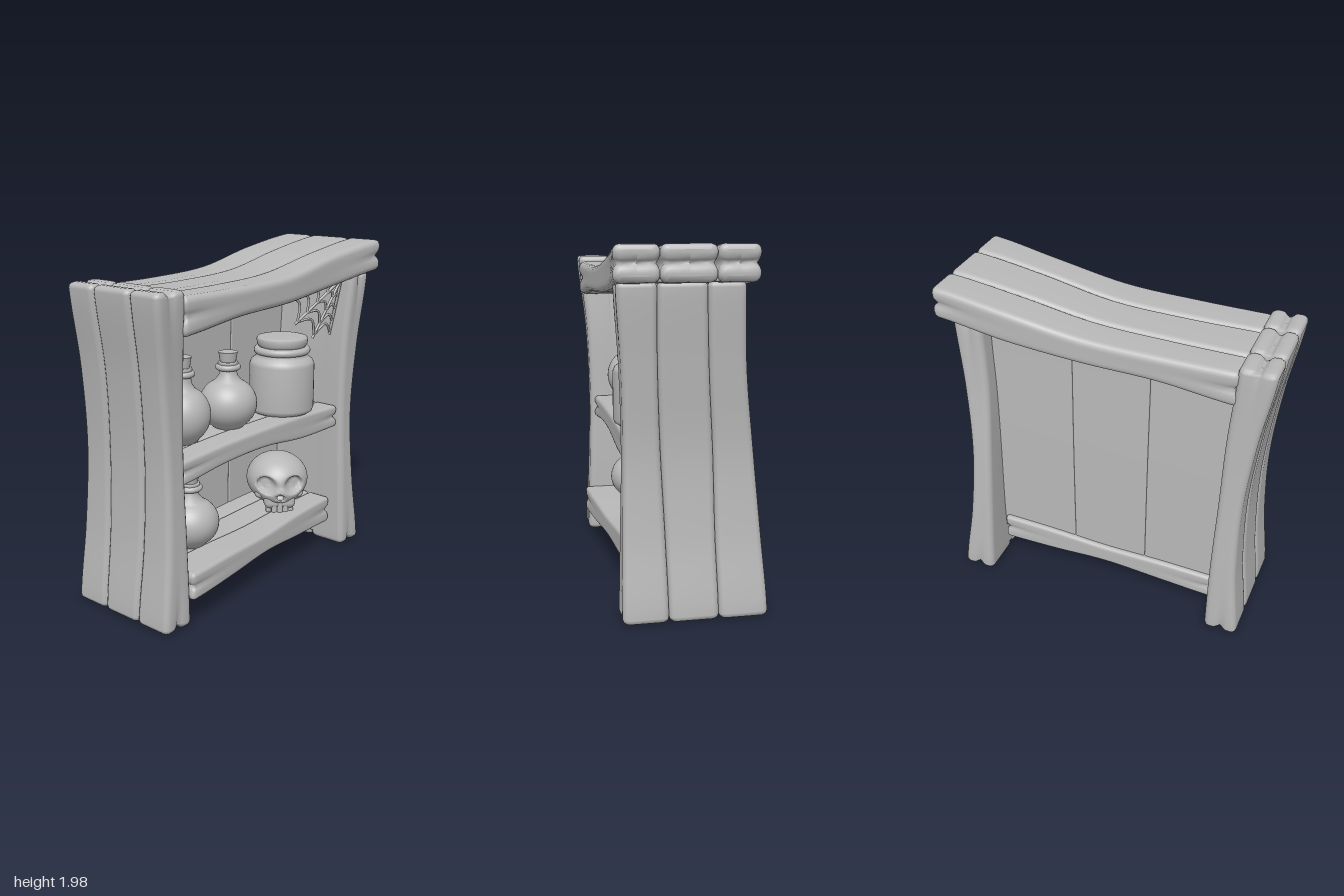
import * as THREE from 'three';
import { RoundedBoxGeometry } from 'three/addons/geometries/RoundedBoxGeometry.js';

const clay = new THREE.MeshStandardMaterial({ color: 0xb8b8b8 });
clay.name = 'plain grey';

function add(parent, name, geometry, x = 0, y = 0, z = 0) {
  const mesh = new THREE.Mesh(geometry, clay);
  mesh.name = name;
  mesh.position.set(x, y, z);
  parent.add(mesh);
  return mesh;
}

// Smooth function of t in 0..1 through evenly spaced values
function smooth(values) {
  const curve = new THREE.SplineCurve(values.map((v, i) => new THREE.Vector2(i, v)));
  return t => curve.getPoint(t).y;
}

// Rounded rectangle section; extra points on the two narrow sides carry the split groove
function section(hw, ht, r, groove) {
  const pts = [];
  const side = s => [-0.4, -0.2, 0, 0.2, 0.4].forEach(v =>
    pts.push([s * (hw - groove * Math.exp(-((v / 0.2) ** 2))), s * v * ht, s * v]));
  const corner = (su, sv, start) => {
    for (let i = 0; i <= 4; i++) {
      const a = start + i * Math.PI / 8;
      const v = sv * (ht - r) + r * Math.sin(a);
      pts.push([su * (hw - r) + r * Math.cos(a), v, v / ht]);
    }
  };
  side(1);
  corner(1, 1, 0);
  pts.push([0, ht, 1]);
  corner(-1, 1, Math.PI / 2);
  side(-1);
  corner(-1, -1, Math.PI);
  pts.push([0, -ht, -1]);
  corner(1, -1, Math.PI * 1.5);
  return pts;
}

// Warped plank: axes gives the world axis of width, length and thickness
function plankGeometry(axes, l0, l1, w0, w1, t0, t1, split = 0.025, r = 0.035) {
  const rings = [];
  const ring = (l, inset, collapse) => {
    const t = THREE.MathUtils.clamp((l - l0) / (l1 - l0), 0, 1);
    const cw = (w0(t) + w1(t)) / 2, ct = (t0(t) + t1(t)) / 2;
    const hw = (w1(t) - w0(t)) / 2, ht = (t1(t) - t0(t)) / 2;
    const end = Math.min(l - l0, l1 - l);
    const rad = Math.min(r, ht * 0.6);
    const pts = section(hw - inset, ht - inset, Math.max(rad - inset * 0.6, 0.004), split * Math.exp(-end / 0.12));
    rings.push(pts.map(([u, v, f]) => {
      const notch = split * 1.2 * Math.exp(-((f / 0.25) ** 2)) * Math.exp(-end / 0.02);
      const p = [0, 0, 0];
      p[axes[0]] = cw + u * collapse;
      p[axes[1]] = l + (t < 0.5 ? notch : -notch);
      p[axes[2]] = ct + v;
      return p;
    }));
  };
  const e = Math.min(r, 0.03), turn = [90, 60, 30].map(d => d * Math.PI / 180);
  [0, 0.5].forEach(c => ring(l0, e, c));
  turn.forEach(a => ring(l0 + e - e * Math.sin(a), e * (1 - Math.cos(a)), 1));
  for (let i = 0; i <= 28; i++) ring(l0 + e + (l1 - l0 - 2 * e) * i / 28, 0, 1);
  turn.reverse().forEach(a => ring(l1 - e + e * Math.sin(a), e * (1 - Math.cos(a)), 1));
  [0.5, 0].forEach(c => ring(l1, e, c));

  const n = rings[0].length, index = [];
  const even = (axes[1] - axes[0] + 3) % 3 === 1;
  for (let j = 0; j < rings.length - 1; j++) for (let i = 0; i < n; i++) {
    const a = j * n + i, b = j * n + (i + 1) % n, c = a + n, d = b + n;
    index.push(...(even ? [a, c, b, b, c, d] : [a, b, c, b, d, c]));
  }
  const g = new THREE.BufferGeometry();
  g.setAttribute('position', new THREE.Float32BufferAttribute(rings.flat(2), 3));
  g.setIndex(index);
  g.computeVertexNormals();
  return g;
}

// Row of planks side by side between successive edge lines
function planks(parent, name, axes, l0, l1, edges, low, high, split, r) {
  const group = new THREE.Group();
  group.name = name;
  const lines = edges.map(smooth);
  for (let i = 0; i < lines.length - 1; i++)
    add(group, name + 'Plank', plankGeometry(axes, l0, l1, lines[i], lines[i + 1], smooth(low), smooth(high), split, r));
  parent.add(group);
  return group;
}

// Planks whose inner face is one seamless board; side is 1 when that face is the high one
function linedPlanks(parent, name, axes, l0, l1, edges, low, high, side, split, r) {
  const group = planks(parent, name, axes, l0, l1, edges, low, high, split, r);
  const face = smooth(side > 0 ? high : low), first = smooth(edges[0]), last = smooth(edges[edges.length - 1]);
  const depth = t => face(t) - side * 0.04;
  add(group, name + 'Lining', plankGeometry(axes, l0 + 0.04, l1 - 0.04, t => first(t) + 0.035, t => last(t) - 0.035,
    side > 0 ? depth : face, side > 0 ? face : depth, 0, 0.008));
}

function lathe(points) {
  return new THREE.LatheGeometry(points.map(([x, y]) => new THREE.Vector2(x, y)), 40);
}

// Round flask with neck ring and cork
function bottle(parent, x, y, z, height, radius) {
  const g = new THREE.Group();
  g.name = 'bottle';
  const k = height / 0.48, cy = 0.155, pts = [[0, 0], [0.085, 0]];
  for (let a = -50; a <= 68; a += 8) {
    const q = a * Math.PI / 180;
    pts.push([radius * Math.cos(q), (cy + 0.165 * Math.sin(q)) * k]);
  }
  pts.push([0.054, 0.335 * k], [0.052, 0.38 * k], [0.06, 0.41 * k], [0.056, 0.42 * k], [0, 0.42 * k]);
  add(g, 'flask', lathe(pts));
  add(g, 'neckRing', new THREE.TorusGeometry(0.056, 0.018, 12, 32).rotateX(Math.PI / 2), 0, 0.385 * k, 0);
  add(g, 'cork', new THREE.CylinderGeometry(0.056, 0.044, 0.075 * k, 24), 0, 0.4425 * k, 0);
  g.position.set(x, y, z);
  parent.add(g);
}

// Lidded storage jar
function jar(parent, x, y, z) {
  const g = new THREE.Group();
  g.name = 'jar';
  add(g, 'jarBody', lathe([[0, 0], [0.17, 0], [0.19, 0.012], [0.199, 0.035], [0.199, 0.16], [0.199, 0.3],
    [0.19, 0.325], [0.165, 0.345], [0.15, 0.36], [0.15, 0.41], [0, 0.41]]));
  add(g, 'jarRim', new THREE.TorusGeometry(0.15, 0.023, 12, 40).rotateX(Math.PI / 2), 0, 0.387, 0);
  add(g, 'jarLid', lathe([[0, 0.405], [0.14, 0.405], [0.153, 0.425], [0.157, 0.455], [0.15, 0.468], [0.13, 0.472], [0, 0.472]]));
  g.position.set(x, y, z);
  parent.add(g);
}

// Skull: a sphere reshaped by rule, with pressed-in sockets, plus jaw and teeth
function skull(parent, x, y, z) {
  const g = new THREE.Group();
  g.name = 'skull';
  const geo = new THREE.SphereGeometry(1, 72, 56), pos = geo.attributes.position, d = new THREE.Vector3();
  const dents = [[-0.46, 0.02, 0.88, 0.38, 0.06], [0.46, 0.02, 0.88, 0.38, 0.06], [0, -0.45, 0.89, 0.17, 0.04]]
    .map(([a, b, c, size, depth]) => ({ dir: new THREE.Vector3(a, b, c).normalize(), size, depth }));
  for (let i = 0; i < pos.count; i++) {
    d.fromBufferAttribute(pos, i);
    const front = Math.max(d.z, 0), low = Math.max(-d.y, 0);
    let pz = 0.215 * d.z + 0.07 * front * low;
    for (const dent of dents)
      pz -= dent.depth * (1 - THREE.MathUtils.smoothstep(d.angleTo(dent.dir), dent.size * 0.55, dent.size));
    const py = 0.18 + 0.165 * d.y;
    pos.setXYZ(i, 0.196 * d.x * (1 - 0.15 * low * front), Math.max(py, 0.03), pz);
  }
  geo.computeVertexNormals();
  add(g, 'cranium', geo);
  add(g, 'upperJaw', new RoundedBoxGeometry(0.2, 0.1, 0.15, 4, 0.04), 0, 0.075, 0.12);
  for (const s of [-1, 1]) {
    const cheek = add(g, 'cheekbone', new THREE.SphereGeometry(0.05, 20, 14), s * 0.11, 0.11, 0.105);
    cheek.scale.set(0.9, 0.7, 1.1);
  }
  for (let i = -2; i <= 2; i++)
    add(g, 'tooth', new RoundedBoxGeometry(0.034, 0.075, 0.045, 3, 0.012), i * 0.035, 0.036, 0.174 - 0.006 * i * i);
  g.position.set(x, y, z);
  g.rotation.y = Math.PI / 4;
  parent.add(g);
}

// Cobweb: spokes from the corner joined by sagging threads
function cobweb(parent, x) {
  const g = new THREE.Group();
  g.name = 'cobweb';
  const hub = new THREE.Vector3(x, 1.77, -0.7);
  const tips = [[1.72, -0.18], [1.53, -0.33], [1.42, -0.51], [1.42, -0.69]]
    .map(([y, z]) => new THREE.Vector3(x - 0.07, y, z));
  const thread = (name, pts, r) => add(g, name, new THREE.TubeGeometry(new THREE.CatmullRomCurve3(pts), 12, r, 6));
  tips.forEach(tip => thread('webSpoke', [hub, hub.clone().lerp(tip, 0.5), tip], 0.009));
  for (const f of [0.3, 0.52, 0.74, 0.94]) for (let i = 0; i < 3; i++) {
    const a = hub.clone().lerp(tips[i], f), b = hub.clone().lerp(tips[i + 1], f);
    const mid = a.clone().lerp(b, 0.5).lerp(hub, 0.17);
    thread('webThread', [a, mid, b], 0.008);
  }
  parent.add(g);
}

export function createModel() {
  const model = new THREE.Group();
  model.name = 'shelfCabinet';
  const upright = [0, 1, 2], across = [0, 2, 1], panel = [2, 1, 0];

  // Walls, bottom to top
  linedPlanks(model, 'frontWall', upright, 0.015, 1.875,
    [[-0.35, -0.33, -0.3, -0.28, -0.27], [-0.12, -0.12, -0.11, -0.08, -0.07], [0.14, 0.15, 0.16, 0.18, 0.2], [0.375, 0.36, 0.35, 0.365, 0.41]],
    [0.72, 0.72, 0.73, 0.74, 0.77], [0.925, 0.88, 0.87, 0.91, 0.98], -1);
  linedPlanks(model, 'backWall', upright, 0.015, 1.81,
    [[-0.42, -0.39, -0.35, -0.3, -0.28], [-0.15, -0.14, -0.13, -0.1, -0.08], [0.12, 0.13, 0.15, 0.17, 0.18], [0.37, 0.36, 0.35, 0.36, 0.39]],
    [-0.915, -0.85, -0.82, -0.85, -0.89], [-0.71, -0.7, -0.69, -0.69, -0.71], 1);

  // Roof and shelves, back to front
  linedPlanks(model, 'roof', across, -0.975, 0.785,
    [[-0.33, -0.33, -0.3, -0.28, -0.27], [-0.11, -0.1, -0.08, -0.07, -0.07], [0.18, 0.18, 0.18, 0.19, 0.2], [0.415, 0.39, 0.4, 0.41, 0.41]],
    [1.81, 1.75, 1.7, 1.68, 1.63], [2.0, 1.94, 1.86, 1.84, 1.84], -1);
  linedPlanks(model, 'middleShelf', across, -0.69, 0.73,
    [[-0.18, -0.18], [0, 0], [0.16, 0.16], [0.32, 0.325]],
    [0.83, 0.83, 0.86, 0.85, 0.81], [0.97, 0.98, 0.98, 0.97, 0.95], -1, 0.02, 0.022);
  linedPlanks(model, 'bottomShelf', across, -0.69, 0.73,
    [[-0.24, -0.24], [-0.05, -0.05], [0.12, 0.16], [0.28, 0.395]],
    [0.17, 0.18, 0.2, 0.18, 0.16], [0.34, 0.335, 0.32, 0.325, 0.32], -1, 0.02, 0.022);

  // Recessed rear panel
  planks(model, 'rearPanel', panel, 0.24, 1.76, [-0.705, -0.2, 0.27, 0.745].map(v => [v, v]),
    [-0.21, -0.2, -0.18], [-0.17, -0.16, -0.14], 0, 0.012);

  // Contents
  bottle(model, 0.1, 0.965, 0.5, 0.485, 0.162);
  bottle(model, 0.11, 0.97, 0.125, 0.45, 0.17);
  bottle(model, 0.085, 0.32, 0.43, 0.435, 0.17);
  jar(model, 0.14, 0.978, -0.34);
  skull(model, 0.06, 0.325, -0.41);
  cobweb(model, 0.31);
  return model;
}
